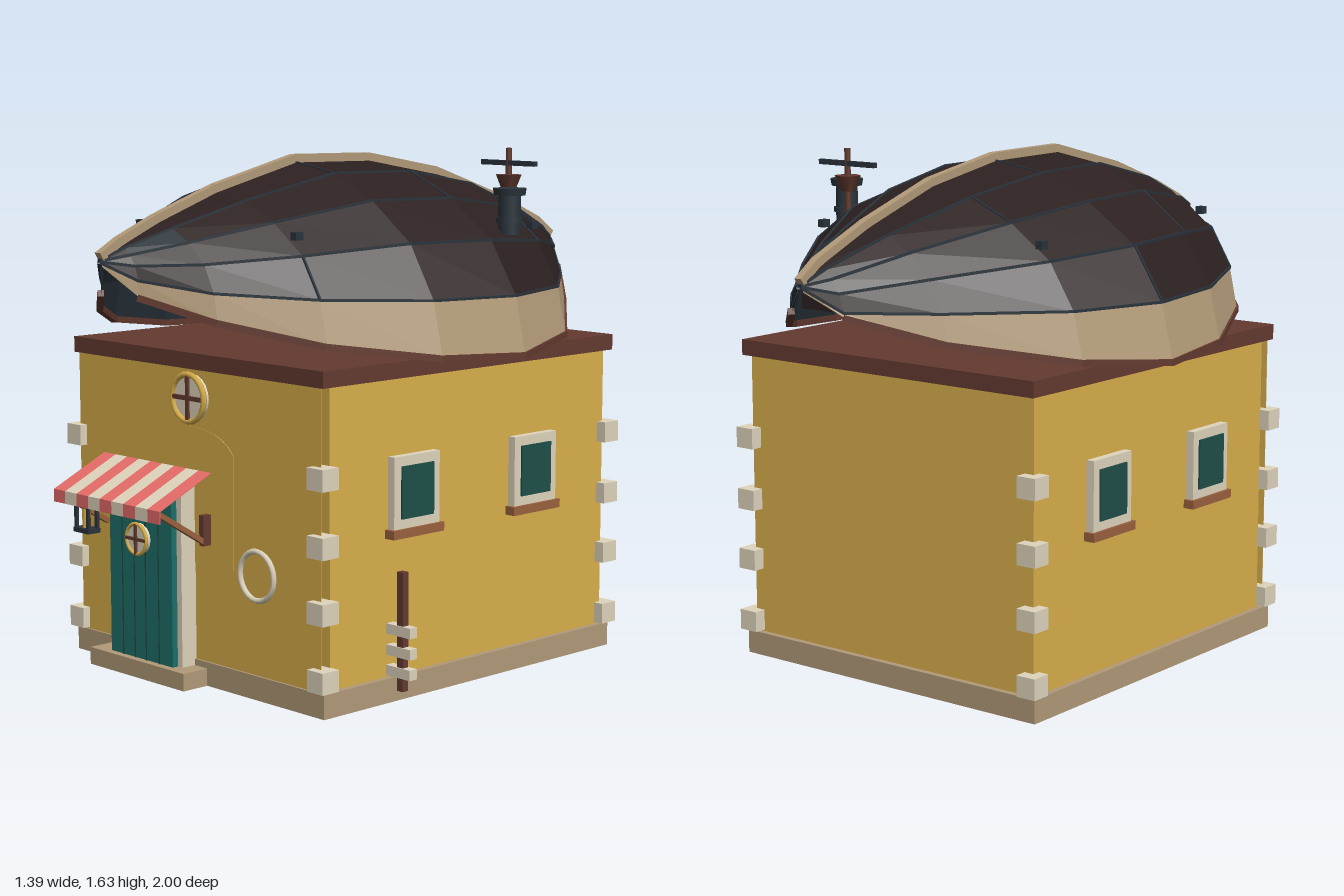
import * as THREE from 'three';

const mat = (name, color) => Object.assign(new THREE.MeshStandardMaterial({ color }), { name });
const M = {
  ochre: mat('ochre plaster', 0xd9af4b),
  tan: mat('tan stone', 0xb29a78),
  cream: mat('cream paint', 0xe0d5bd),
  brown: mat('red brown wood', 0x643b30),
  copper: mat('copper wood', 0x9a613d),
  dark: mat('dark planks', 0x2c2020),
  slate: mat('slate metal', 0x2a343c),
  teal: mat('teal door', 0x1e706a),
  glass: mat('dark green glass', 0x1f4f49),
  red: mat('awning red', 0xe86c68),
};

export function createModel() {
  const root = new THREE.Group();
  root.name = 'boatRoofHouse';

  const add = (name, geo, m, x = 0, y = 0, z = 0, parent = root) => {
    const mesh = new THREE.Mesh(geo, m);
    mesh.name = name;
    mesh.position.set(x, y, z);
    parent.add(mesh);
    return mesh;
  };
  // box given by its min and max on each axis
  const box = (name, m, x0, x1, y0, y1, z0, z1, parent = root) =>
    add(name, new THREE.BoxGeometry(x1 - x0, y1 - y0, z1 - z0), m,
      (x0 + x1) / 2, (y0 + y1) / 2, (z0 + z1) / 2, parent);
  // straight bar between two points
  const bar = (name, m, a, b, w, h, parent = root) => {
    const mid = a.clone().add(b).multiplyScalar(0.5);
    const mesh = add(name, new THREE.BoxGeometry(w, h, a.distanceTo(b) + 0.004), m, mid.x, mid.y, mid.z, parent);
    mesh.lookAt(b);
    return mesh;
  };
  const V = (x, y, z) => new THREE.Vector3(x, y, z);
  const group = (name) => {
    const g = new THREE.Group();
    g.name = name;
    root.add(g);
    return g;
  };

  // House body with a thin facade standing just in front of the walls
  box('foundation', M.tan, -0.585, 0.585, 0, 0.075, -0.64, 0.645);
  box('doorStep', M.tan, -0.4, 0.06, 0, 0.055, 0.6, 0.74);
  box('walls', M.ochre, -0.565, 0.565, 0.07, 0.985, -0.62, 0.603);
  box('frontFacade', M.ochre, -0.565, 0.565, 0.07, 0.985, 0.636, 0.638);
  box('eaveBoard', M.brown, -0.582, 0.582, 0.98, 1.03, -0.645, 0.645);
  for (const sx of [-1, 1])
    for (const z of [0.632, -0.627])
      for (const y of [0.113, 0.317, 0.514, 0.715])
        add('cornerStone', new THREE.BoxGeometry(0.068, 0.066, 0.066), M.cream, sx * 0.566, y, z);

  // Blind arch on the facade
  const arch = new THREE.Shape();
  arch.moveTo(-0.182, 0.38);
  arch.lineTo(0.182, 0.38);
  arch.lineTo(0.182, 0.735);
  arch.quadraticCurveTo(0.13, 0.8, 0, 0.803);
  arch.quadraticCurveTo(-0.13, 0.8, -0.182, 0.735);
  add('blindArch', new THREE.ExtrudeGeometry(arch, { depth: 0.003, bevelEnabled: false, curveSegments: 5 }),
    M.ochre, 0, 0, 0.637);

  // Side windows
  for (const s of [-1, 1])
    for (const z of [0.267, -0.265]) {
      const w = group('sideWindow');
      const slab = (n, m, x, y0, y1, h) => add(n, new THREE.BoxGeometry(x - 0.55, y1 - y0, h * 2), m,
        s * (x + 0.55) / 2, (y0 + y1) / 2, z, w);
      slab('windowFrame', M.cream, 0.592, 0.527, 0.747, 0.097);
      slab('windowGlass', M.glass, 0.598, 0.557, 0.717, 0.068);
      slab('windowSill', M.copper, 0.602, 0.5, 0.527, 0.108);
    }

  // Round windows: pane, ring and crossbars
  const porthole = (name, x, y, z, r) => {
    const g = group(name);
    const pane = add('pane', new THREE.CylinderGeometry(r, r, 0.02, 20), M.cream, x, y, z, g);
    pane.rotation.x = Math.PI / 2;
    add('ring', new THREE.TorusGeometry(r, r * 0.13, 6, 20), M.ochre, x, y, z + 0.01, g);
    add('crossbarUpright', new THREE.BoxGeometry(r * 0.19, r * 2, 0.014), M.brown, x, y, z + 0.01, g);
    add('crossbarLevel', new THREE.BoxGeometry(r * 2, r * 0.19, 0.014), M.brown, x, y, z + 0.01, g);
  };
  porthole('gableWindow', 0, 0.893, 0.65, 0.073);
  porthole('doorWindow', -0.17, 0.44, 0.722, 0.048);

  // Door with plank grooves and frame
  box('door', M.teal, -0.322, -0.02, 0.055, 0.615, 0.638, 0.715);
  for (const x of [-0.258, -0.2, -0.145, -0.082])
    box('doorGroove', M.glass, x - 0.003, x + 0.003, 0.055, 0.615, 0.714, 0.718);
  box('doorPostRight', M.cream, -0.346, -0.32, 0.055, 0.63, 0.638, 0.695);
  box('doorPostLeft', M.cream, -0.022, 0.002, 0.055, 0.63, 0.638, 0.695);
  box('doorLintel', M.cream, -0.346, 0.002, 0.612, 0.63, 0.638, 0.695);

  // Striped awning on two struts
  const awning = group('awning');
  const sw = 0.52 / 9;
  for (let i = 0; i < 9; i++) {
    const x = -0.43 + sw * (i + 0.5);
    const m = i % 2 ? M.cream : M.red;
    bar('awningStripe', m, V(x, 0.67, 0.65), V(x, 0.579, 0.848), sw, 0.002, awning);
    add('awningValance', new THREE.BoxGeometry(sw, 0.04, 0.003), m, x, 0.559, 0.85, awning);
  }
  for (const x of [-0.405, 0.068])
    bar('awningStrut', M.copper, V(x, 0.57, 0.845), V(x, 0.455, 0.66), 0.02, 0.016, awning);
  box('strutPlate', M.brown, 0.058, 0.078, 0.445, 0.54, 0.638, 0.67, awning);

  // Lantern beside the door
  const lantern = group('lantern');
  const lx = -0.402, lz = 0.745;
  box('lanternCap', M.slate, lx - 0.038, lx + 0.038, 0.522, 0.54, lz - 0.024, lz + 0.024, lantern);
  box('lanternBase', M.slate, lx - 0.038, lx + 0.038, 0.43, 0.445, lz - 0.024, lz + 0.024, lantern);
  add('lanternLight', new THREE.CylinderGeometry(0.014, 0.014, 0.08, 8), M.ochre, lx, 0.484, lz, lantern);
  for (const a of [-1, 1])
    for (const b of [-1, 1])
      box('lanternPost', M.slate, lx + a * 0.03 - 0.006, lx + a * 0.03 + 0.006, 0.44, 0.525,
        lz + b * 0.017 - 0.005, lz + b * 0.017 + 0.005, lantern);
  box('lanternArm', M.brown, lx - 0.01, lx + 0.01, 0.5, 0.525, 0.638, lz + 0.01, lantern);

  // Life ring on the facade
  add('lifeRing', new THREE.TorusGeometry(0.075, 0.009, 6, 24), M.cream, 0.315, 0.39, 0.665);

  // Sign post
  box('signPost', M.brown, 0.607, 0.632, 0.04, 0.405, 0.343, 0.366);
  for (const y of [0.225, 0.16, 0.097])
    box('signBoard', M.cream, 0.563, 0.665, y - 0.016, y + 0.016, 0.339, 0.37);

  // Upturned hull: z, half width, keel height, sheer height, rim height
  const stations = [
    [0.99, 0.008, 1.335, 1.325, 1.315], [0.92, 0.095, 1.375, 1.275, 1.225],
    [0.78, 0.28, 1.435, 1.24, 1.155], [0.55, 0.5, 1.515, 1.22, 1.085],
    [0.22, 0.65, 1.595, 1.205, 1.035], [-0.1, 0.692, 1.59, 1.2, 1.02],
    [-0.41, 0.585, 1.535, 1.2, 1.05], [-0.71, 0.32, 1.435, 1.205, 1.115],
    [-0.92, 0.11, 1.345, 1.215, 1.2], [-0.99, 0.01, 1.295, 1.285, 1.275],
  ];
  const fx = [0, 0.28, 0.54, 0.79, 0.94, 1];
  const fy = [1, 0.925, 0.73, 0.42, 0];
  // hull point at station i, strake edge j, side s, set in by t
  const P = (i, j, s, t = 0) => {
    const [z, w, keel, sheer, rim] = stations[i];
    const y = j === 5 ? rim : sheer + (keel - sheer) * fy[j] - t;
    return V(s * Math.max(w - t, 0.002) * fx[j], y, z);
  };
  const faces = { dark: [], tan: [], slate: [], inside: [] };
  const quad = (list, q) => [0, 1, 2, 0, 2, 3].forEach((k) => list.push(...q[k].toArray()));
  const n = stations.length - 1;
  for (const s of [-1, 1])
    for (let i = 0; i < n; i++)
      for (let j = 0; j < 5; j++) {
        const corners = (t) => [P(i, j, s, t), P(i, j + 1, s, t), P(i + 1, j + 1, s, t), P(i + 1, j, s, t)];
        const outer = corners(0), inner = corners(0.008);
        (s < 0 ? outer : inner).reverse();
        const patch = s > 0 && j === 1 && (i === 1 || i === 7);
        quad(faces[j === 4 ? 'tan' : patch ? 'slate' : 'dark'], outer);
        quad(faces.inside, inner);
      }
  const hull = group('hullRoof');
  const skin = (name, list, m) => {
    const g = new THREE.BufferGeometry();
    g.setAttribute('position', new THREE.Float32BufferAttribute(list, 3));
    g.computeVertexNormals();
    add(name, g, m, 0, 0, 0, hull);
  };
  skin('hullPlanks', faces.dark, M.dark);
  skin('hullTopStrake', faces.tan, M.tan);
  skin('hullPatches', faces.slate, M.slate);
  skin('hullInside', faces.inside, M.slate);
  box('sternBoard', M.dark, -0.075, 0.075, 1.21, 1.29, -0.905, -0.89, hull);

  // Keel, rim rails (stopping short of the tips) and plank seams
  const lift = V(0, 0.008, 0);
  for (let i = 0; i < n; i++) {
    bar('keel', M.tan, P(i, 0, 1).add(lift), P(i + 1, 0, 1).add(lift), 0.026, 0.032, hull);
    for (const s of [-1, 1]) {
      if (i > 0 && i < n - 1) bar('rimRail', M.brown, P(i, 5, s, 0.006), P(i + 1, 5, s, 0.006), 0.02, 0.02, hull);
      for (let j = 1; j <= 4; j++)
        bar('plankSeam', M.slate, P(i, j, s), P(i + 1, j, s), 0.008, 0.008, hull);
    }
  }
  for (const [i, j, s] of [[3, 3, 1], [3, 3, -1], [4, 0, 1], [4, 2, -1], [5, 1, 1], [5, 0, -1], [5, 3, -1], [6, 2, 1], [6, 1, -1]])
    bar('plankJoint', M.slate, P(i, j, s), P(i, j + 1, s), 0.007, 0.007, hull);
  for (const s of [-1, 1]) {
    add('hullBolt', new THREE.BoxGeometry(0.024, 0.024, 0.03), M.slate, s * 0.36, 1.4, 0.54, hull);
    add('hullBolt', new THREE.BoxGeometry(0.024, 0.024, 0.03), M.slate, s * 0.435, 1.388, -0.415, hull);
  }

  // Chimney
  const flue = group('chimney');
  add('chimneyPipe', new THREE.CylinderGeometry(0.036, 0.036, 0.13, 12), M.slate, 0.485, 1.435, -0.25, flue);
  add('chimneyRim', new THREE.CylinderGeometry(0.054, 0.05, 0.022, 12), M.slate, 0.485, 1.503, -0.25, flue);
  add('chimneyCollar', new THREE.CylinderGeometry(0.043, 0.043, 0.015, 12), M.slate, 0.485, 1.415, -0.25, flue);

  // Weather vane
  const vane = group('weatherVane');
  add('vanePost', new THREE.CylinderGeometry(0.01, 0.01, 0.21, 6), M.brown, 0.34, 1.525, -0.405, vane);
  add('vaneSocket', new THREE.CylinderGeometry(0.042, 0.022, 0.05, 6), M.brown, 0.34, 1.52, -0.405, vane);
  add('vaneArm', new THREE.BoxGeometry(0.23, 0.016, 0.016), M.slate, 0.34, 1.582, -0.405, vane);

  return root;
}
